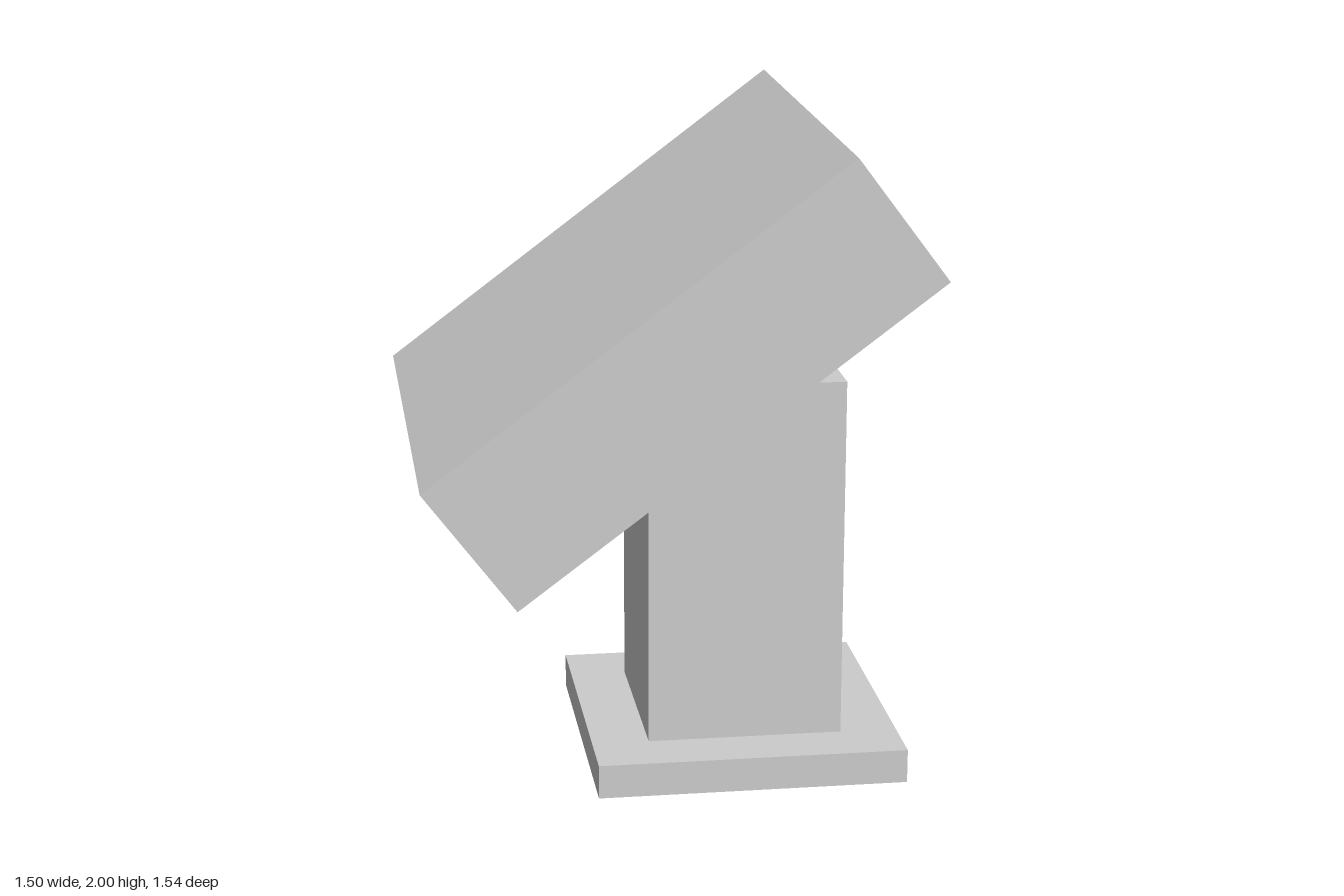
import * as THREE from 'three';

export function createModel() {
  const group = new THREE.Group();
  const material = new THREE.MeshStandardMaterial({ color: 0xcccccc, flatShading: true });

  const addBox = (name, size, position) => {
    const mesh = new THREE.Mesh(new THREE.BoxGeometry(...size), material);
    mesh.name = name;
    mesh.position.set(...position);
    group.add(mesh);
    return mesh;
  };

  // Square foot plate and the post standing on it
  addBox('basePlate', [0.95, 0.105, 0.95], [0.258, 0.0525, 0]);
  addBox('post', [0.6, 1.125, 0.6], [0.258, 0.6675, 0]);

  // Thick square slab, tilted in a 3-4-5 slope, resting over the post
  const slab = addBox('tiltedSlab', [1.54, 0.45, 1.54], [0, 1.358, 0]);
  slab.rotation.z = Math.atan2(3, 4);

  return group;
}
